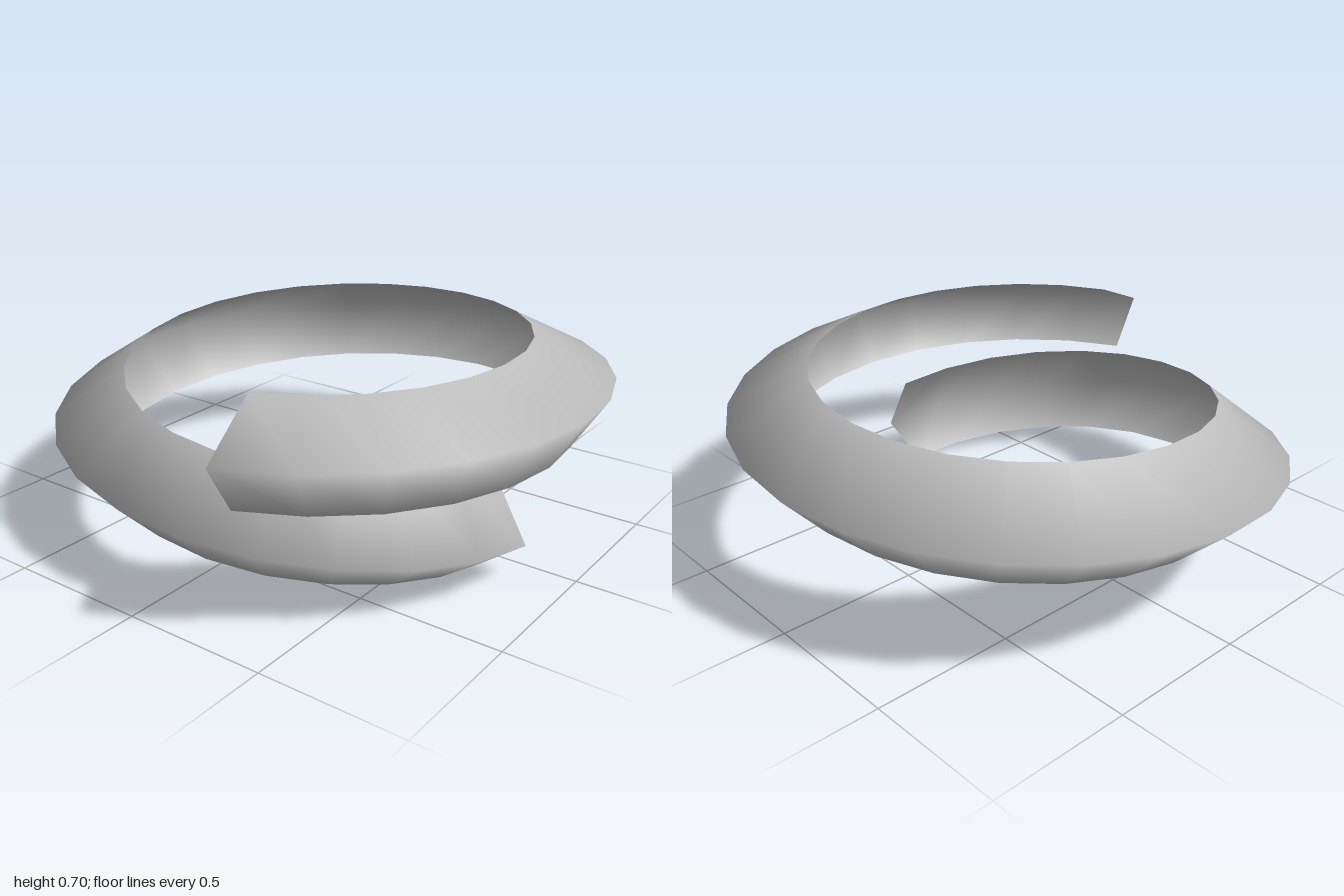
import * as THREE from 'three';

// Each edge of the V-shaped band as keys of [turn angle in degrees, radius, height]
const edges = [
  // upper rim
  [[3.3, 0.69, 0.35], [96.4, 0.71, 0.49], [180.8, 0.71, 0.595], [267.6, 0.71, 0.66], [350.4, 0.72, 0.693], [430.9, 0.76, 0.70]],
  // outer ridge
  [[4.7, 0.85, 0.11], [97.4, 0.928, 0.295], [183.4, 1.0, 0.418], [266.6, 1.0, 0.503], [349, 1.0, 0.563], [431.7, 1.05, 0.58]],
  // lower rim
  [[7.4, 0.695, 0], [98.5, 0.765, 0.135], [184.5, 0.81, 0.24], [266.8, 0.84, 0.327], [348.5, 0.885, 0.38], [430.6, 0.93, 0.40]],
];
const SEGMENTS = 30;

// Lofts the edges into an open band, smooth across the ridge
function bandGeometry() {
  const curves = edges.map(keys => new THREE.CatmullRomCurve3(
    keys.map(k => new THREE.Vector3(...k)), false, 'catmullrom', 0.5));
  const n = curves.length;
  const positions = [], index = [];
  for (let i = 0; i <= SEGMENTS; i++) {
    for (const curve of curves) {
      const p = curve.getPoint(i / SEGMENTS);
      const a = THREE.MathUtils.degToRad(p.x);
      positions.push(p.y * Math.cos(a), p.z, p.y * Math.sin(a));
    }
  }
  for (let i = 0; i < SEGMENTS; i++) {
    for (let j = 0; j < n - 1; j++) {
      const p = i * n + j;
      index.push(p, p + n, p + 1, p + n, p + n + 1, p + 1);
    }
  }
  const geometry = new THREE.BufferGeometry();
  geometry.setAttribute('position', new THREE.Float32BufferAttribute(positions, 3));
  geometry.setIndex(index);
  geometry.computeVertexNormals();
  return geometry;
}

export function createModel() {
  const group = new THREE.Group();
  group.name = 'spiralRing';
  const grey = new THREE.MeshStandardMaterial({ color: 0xbbbbbb, side: THREE.DoubleSide });
  grey.name = 'grey';
  const band = new THREE.Mesh(bandGeometry(), grey);
  band.name = 'spiralBand';
  group.add(band);
  return group;
}
